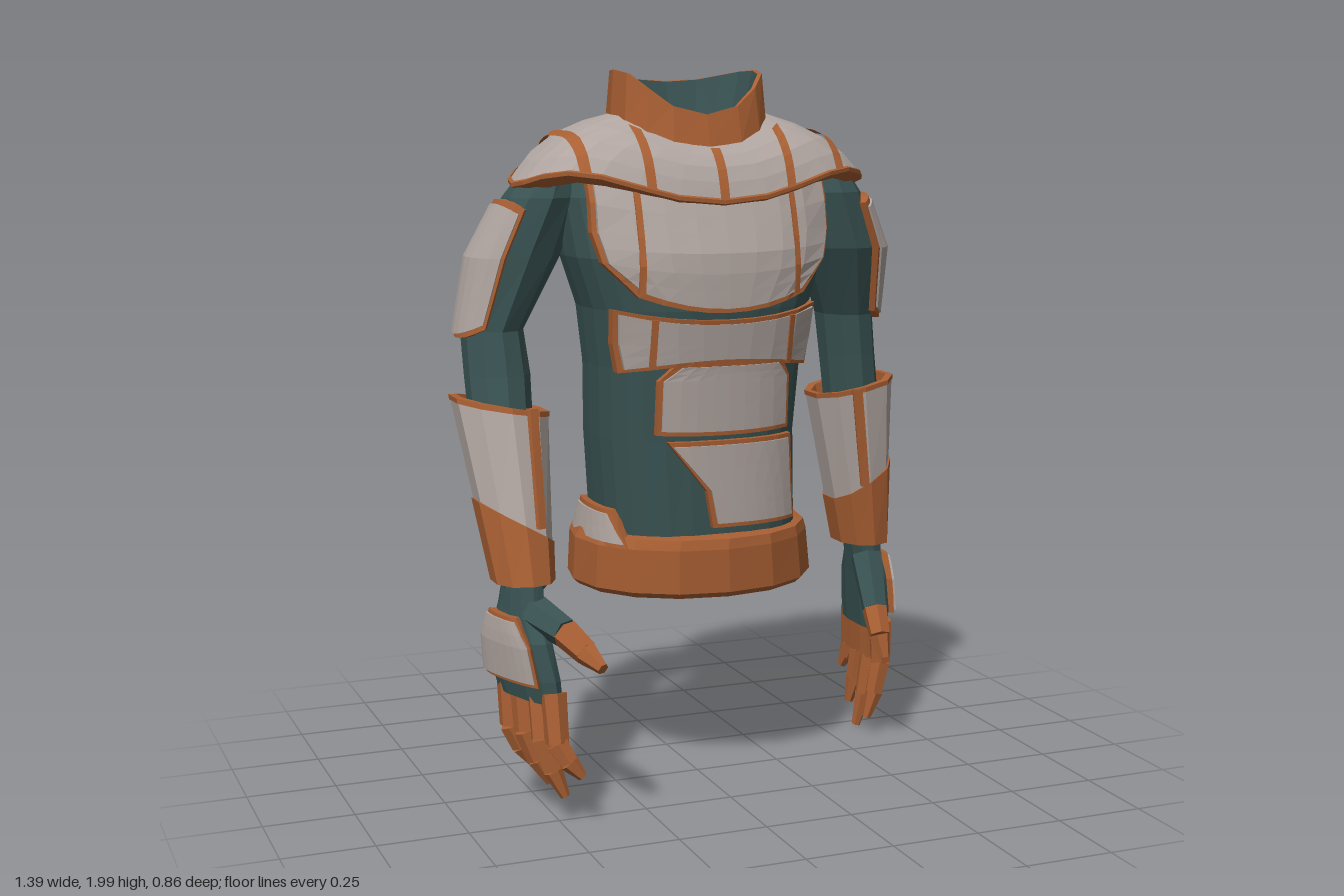
import * as THREE from 'three';

const paint = (name, color) => {
  const m = new THREE.MeshStandardMaterial({ color, side: THREE.DoubleSide });
  m.name = name;
  return m;
};
const teal = paint('teal fabric', 0x3a5353);
const grey = paint('grey armour', 0xb0a5a0);
const orange = paint('orange trim', 0xa85f33);
const V = (x, y, z) => new THREE.Vector3(x, y, z);
const mix = THREE.MathUtils.lerp;
const range = (n, a, b) => Array.from({ length: n + 1 }, (_, i) => mix(a, b, i / n));
const TURN = Math.PI * 2;

// Faceted skin over a grid of points, rows running downwards
function skin(name, mat, rows) {
  const w = rows[0].length, index = [];
  for (let i = 0; i < rows.length - 1; i++)
    for (let j = 0; j < w - 1; j++) {
      const a = i * w + j, c = a + w;
      index.push(a, c, a + 1, a + 1, c, c + 1);
    }
  const g = new THREE.BufferGeometry().setFromPoints(rows.flat());
  g.setIndex(index);
  const flat = g.toNonIndexed();
  flat.computeVertexNormals();
  const mesh = new THREE.Mesh(flat, mat);
  mesh.name = name;
  return mesh;
}

// Row of a table interpolated by its first column (which may rise or fall)
function lookup(table, k) {
  const dir = Math.sign(table[1][0] - table[0][0]);
  let i = 0;
  while (i < table.length - 2 && (table[i + 1][0] - k) * dir < 0) i++;
  const [p, q] = [table[i], table[i + 1]];
  const f = (k - p[0]) / (q[0] - p[0]);
  return p.map((v, n) => mix(v, q[n], f));
}

// Sections are [y, cx, cz, rx, rz, skew], highest first; angle 0 faces the front, +90 degrees faces +x
const spow = (v, e) => Math.sign(v) * Math.abs(v) ** e;
const around = (secs, n = 2) => (a, y, o = 0) => {
  const [, cx, cz, rx, rz, skew = 0] = lookup(secs, y);
  const dz = (rz + o) * spow(Math.cos(a), 2 / n);
  return V(cx + (rx + o) * spow(Math.sin(a), 2 / n) + skew * dz, y, cz + dz);
};
function loft(name, mat, secs, sides, n = 2, cap = false) {
  const f = around(secs, n);
  const rows = secs.map(s => range(sides, 0, TURN).map(a => f(a, s[0])));
  if (cap) {
    const [y, cx, cz] = secs[secs.length - 1];
    rows.push(rows[0].map(() => V(cx, y, cz)));
  }
  return skin(name, mat, rows);
}

// Curved plate: rows are [y, left, right, y at the ends], f(u, y, offset) is the surface below
function sheet(name, mat, f, rows, o, cols = 8) {
  const keyed = rows.map((r, i) => [i, r[0], r[1], r[2], r[3] ?? r[0]]);
  const vs = range((rows.length - 1) * 2, 0, rows.length - 1);
  const us = range(cols, -1, 1);
  const rim = list => [[list[0], 1], ...list.map(v => [v, 0]), [list[list.length - 1], 1]];
  return skin(name, mat, rim(vs).map(([v, ev]) => {
    const [, y, l, r, ye] = lookup(keyed, v);
    return rim(us).map(([u, eu]) =>
      f(mix(l, r, (u + 1) / 2), mix(y, ye, u * u), ev || eu ? -0.01 : o));
  }));
}
// Grey plate on a slightly larger orange edge
function plate(name, f, rows, du = 0.012, dy = 0.012) {
  const g = new THREE.Group();
  g.name = name;
  const inner = rows.map((r, i) => {
    const d = i === 0 ? -dy : i === rows.length - 1 ? dy : 0;
    return [r[0] + d, r[1] + du, r[2] - du, (r[3] ?? r[0]) + d];
  });
  g.add(sheet(name + 'Edge', orange, f, rows, 0.018), sheet(name + 'Face', grey, f, inner, 0.024));
  return g;
}

// Tapered segments through a list of [x, y, z, radius, material]
function digit(name, pts) {
  const g = new THREE.Group();
  g.name = name;
  for (let i = 0; i < pts.length - 1; i++) {
    const p = V(...pts[i].slice(0, 3)), q = V(...pts[i + 1].slice(0, 3)), d = q.clone().sub(p);
    const geo = new THREE.CylinderGeometry(pts[i + 1][3], pts[i][3], d.length(), 6).toNonIndexed();
    geo.computeVertexNormals();
    const m = new THREE.Mesh(geo, pts[i][4]);
    m.name = name + 'Segment';
    m.position.copy(p).lerp(q, 0.5);
    m.quaternion.setFromUnitVectors(V(0, 1, 0), d.normalize());
    g.add(m);
  }
  return g;
}

function torso() {
  const g = new THREE.Group();
  g.name = 'torso';
  const N = 2.5;
  const secs = [[1.84, 0, -0.07, 0.2, 0.13], [1.76, 0, -0.075, 0.36, 0.2], [1.66, 0, -0.07, 0.39, 0.235],
    [1.5, 0, -0.045, 0.37, 0.262], [1.36, 0, -0.04, 0.325, 0.252], [1.2, 0, -0.05, 0.305, 0.232],
    [1.0, 0, -0.075, 0.295, 0.238], [0.7, 0.02, -0.1, 0.288, 0.25]];
  g.add(loft('undersuit', teal, secs, 28, N));
  const wall = side => (u, y, o) => {
    const [, cx, cz, rx, rz] = lookup(secs, y);
    const s = Math.min(1, Math.abs(u * side - cx) / (rx + o));
    return V(u * side, y, cz + side * (rz + o) * (1 - s ** N) ** (1 / N));
  };
  const front = wall(1), back = wall(-1);
  const stripe = (x, y0, y1) =>
    g.add(sheet('plateStripe', orange, front, [[y0, x - 0.008, x + 0.008], [(y0 + y1) / 2, x - 0.008, x + 0.008], [y1, x - 0.008, x + 0.008]], 0.028, 1));

  // Chest and stomach
  g.add(plate('chestPlate', front, [[1.67, -0.345, 0.345, 1.73], [1.57, -0.345, 0.345], [1.46, -0.325, 0.32, 1.49], [1.355, -0.24, 0.24, 1.4]]));
  stripe(-0.235, 1.71, 1.41);
  stripe(0.21, 1.71, 1.4);
  g.add(plate('upperStomachPlate', front, [[1.335, -0.295, 0.3, 1.365], [1.27, -0.29, 0.295], [1.215, -0.275, 0.28, 1.19]]));
  stripe(-0.2, 1.34, 1.21);
  stripe(0.2, 1.34, 1.21);
  g.add(plate('middleStomachPlate', front, [[1.22, -0.13, 0.18], [1.17, -0.18, 0.21], [1.015, -0.18, 0.215, 1.02]]));
  g.add(plate('lowerStomachPlate', front, [[1.0, -0.15, 0.23], [0.86, -0.04, 0.24], [0.755, -0.02, 0.25]]));

  // Back and spine
  g.add(plate('backPlate', back, [[1.69, -0.34, 0.34, 1.73], [1.52, -0.32, 0.33], [1.49, -0.26, 0.25], [1.42, -0.21, 0.22], [1.37, -0.13, 0.17]]));
  for (const [top, bottom, w] of [[1.36, 1.18, 0.15], [1.17, 1.01, 0.13], [1.0, 0.74, 0.14]])
    g.add(plate('spinePlate', back, [[top, 0.03 - w, 0.03 + w], [bottom, 0.03 - w * 0.93, 0.03 + w * 0.93]]));

  // Hip plates flaring towards the belt
  const wrap = around(secs, N);
  const flare = (a, y, o) => wrap(a, y, o + (0.8 - y) * 0.25);
  g.add(plate('leftHipPlate', flare, [[0.8, 2.2, 2.6], [0.7, 1.95, 2.7]], 0.05));
  g.add(plate('rightHipPlate', flare, [[0.8, -1.9, -1.15], [0.7, -2.1, -0.88]], 0.05));

  // Belt with closed underside
  g.add(loft('belt', orange, [[0.735, 0.02, -0.1, 0.27, 0.24], [0.728, 0.015, -0.105, 0.33, 0.305],
    [0.7, 0.012, -0.107, 0.342, 0.312], [0.578, 0.018, -0.115, 0.352, 0.316], [0.562, 0.018, -0.115, 0.335, 0.3]], 16, 2.1, true));
  return g;
}

function yoke() {
  const g = new THREE.Group();
  g.name = 'shoulderYoke';
  // t, side x, side y, front z, front y, back z, back y
  const table = [[0, 0.51, 1.695, 0.2, 1.652, -0.335, 1.68], [0.25, 0.462, 1.755, 0.187, 1.7, -0.33, 1.75],
    [0.5, 0.392, 1.812, 0.17, 1.74, -0.305, 1.81], [0.75, 0.305, 1.855, 0.145, 1.77, -0.275, 1.85], [1, 0.215, 1.885, 0.11, 1.8, -0.235, 1.875]];
  const cz = -0.065, E = 0.92;
  const f = (a, t, o = 0, drop = 0) => {
    const [, X, Y, zf, yf, zb, yb] = lookup(table, t);
    const c = Math.cos(a), s = Math.sin(a);
    const y = mix(Y, c > 0 ? yf : yb, c * c) + 0.055 * Math.sin(2 * a) ** 2 * (1 - t);
    return V((X + o) * spow(s, E), y - drop + o * 0.5, cz + ((c > 0 ? zf - cz : cz - zb) + o) * spow(c, E));
  };
  const ring = (...k) => range(28, 0, TURN).map(a => f(a, ...k));
  g.add(skin('yokeShell', grey, range(4, 1, 0).map(t => ring(t))));
  g.add(skin('yokeHem', orange, [ring(0.03, 0.002), ring(0, 0.005), ring(0, 0.004, 0.01), ring(0, -0.04, 0.008)]));

  // Front trim lines from neck to hem
  for (const x of [-0.2, 0, 0.2]) {
    const edge = (t, e) => f(Math.asin(spow((x + e) / lookup(table, t)[1], 1 / E)), t, 0.006);
    g.add(skin('yokeStripe', orange, range(6, 0.9, 0).map(t => [edge(t, -0.013), edge(t, 0.013)])));
  }
  // Trim lines crossing each shoulder from front hem to back hem
  const byWidth = table.map(r => [r[1], r[0]]);
  for (const side of [-1, 1]) {
    const edge = (k, x) => {
      const a0 = Math.asin((x / table[0][1]) ** (1 / E)), a = mix(a0, Math.PI - a0, k);
      return f(a * side, lookup(byWidth, x / Math.sin(a) ** E)[1], 0.008);
    };
    g.add(skin('shoulderStripe', orange, range(14, 0, 1).map(k => [edge(k, 0.35), edge(k, 0.378)])));
  }

  // Collar: low at the front, high at the sides, lined with fabric
  const neck = (x, zf, zb, ys, yf, yb) => range(16, 0, TURN).map(a => {
    const c = Math.cos(a), m = (zf + zb) / 2;
    return V(x * spow(Math.sin(a), 0.85) - 0.01, mix(ys, c > 0 ? yf : yb, Math.abs(c) ** 2.6), m + (zf - zb) / 2 * spow(c, 0.85));
  });
  const rim = neck(0.212, 0.098, -0.222, 2.0, 1.88, 1.97), lip = neck(0.2, 0.088, -0.212, 1.998, 1.878, 1.968);
  g.add(skin('collar', orange, [lip, rim, neck(0.222, 0.118, -0.242, 1.865, 1.79, 1.865)]));
  g.add(skin('collarLining', teal, [lip, neck(0.17, 0.065, -0.19, 1.87, 1.83, 1.87),
    neck(0.12, 0.03, -0.15, 1.83, 1.82, 1.83), neck(0, -0.06, -0.06, 1.825, 1.82, 1.825)]));
  return g;
}

// side is +1 for the left arm, -1 for the right
function arm(side, { sleeve, cuff, stripe, palm, fingers, thumb }) {
  const g = new THREE.Group();
  g.name = side > 0 ? 'leftArm' : 'rightArm';
  const out = side * Math.PI / 2;
  g.add(loft('sleeve', teal, sleeve, 10));
  const span = w => [out - w, out + w];
  g.add(plate('upperArmPlate', around(sleeve), [[1.655, ...span(1.0), 1.63], [1.5, ...span(1.05)], [1.28, ...span(1.05), 1.31]], 0.07));

  // Forearm guard: grey above, orange wrist and rim, open at both ends
  const f = around(cuff, 2.2), top = cuff[0][0], low = cuff[1][0], trim = 0.8;
  const tilt = a => Math.cos(a - out);
  const ring = (y, k, o) => range(10, 0, TURN).map(a => f(a, y + k * tilt(a), o));
  g.add(skin('forearmGuard', grey, [ring(top, 0.025, 0), ring(trim, 0.06, 0)]));
  g.add(skin('forearmRim', orange, [ring(top - 0.1, 0.02, -0.03), ring(top + 0.004, 0.025, -0.018), ring(top + 0.004, 0.025, 0.003), ring(top - 0.01, 0.025, 0.003)]));
  g.add(skin('wristBand', orange, [ring(trim, 0.06, 0), ring(trim, 0.06, 0.005), ring(low, 0, 0.005), ring(low, 0, -0.04)]));
  g.add(sheet('forearmStripe', orange, f, [[top, stripe - 0.1, stripe + 0.1], [trim - 0.01, stripe - 0.12, stripe + 0.12]], 0.009, 1));

  // Hand
  g.add(loft('glove', teal, palm, 10, 2.4, true));
  g.add(plate('handPlate', around(palm, 2.4), [[0.565, ...span(0.7)], [0.49, ...span(0.9)], [0.385, ...span(0.85)]], 0.08, 0.01));
  for (const [x0, z0, x1, y1, z1] of fingers)
    g.add(digit('finger', [[x0, 0.365, z0, 0.036, orange], [mix(x0, x1, 0.25) + 0.015 * side, 0.235, mix(z0, z1, 0.5), 0.032, orange],
      [mix(x0, x1, 0.6) + 0.01 * side, mix(0.235, y1, 0.55), mix(z0, z1, 0.8), 0.027, orange], [x1, y1, z1, 0.013, orange]]));
  g.add(digit('thumb', thumb));
  return g;
}

export function createModel() {
  const model = new THREE.Group();
  model.name = 'armouredJacket';
  model.add(torso(), yoke());
  model.add(arm(1, {
    sleeve: [[1.75, 0.4, -0.07, 0.06, 0.09], [1.66, 0.42, -0.07, 0.1, 0.12], [1.5, 0.475, -0.095, 0.12, 0.13],
      [1.3, 0.525, -0.155, 0.082, 0.105], [1.18, 0.54, -0.16, 0.08, 0.1], [1.0, 0.56, -0.16, 0.08, 0.09], [0.6, 0.6, -0.175, 0.055, 0.08]],
    cuff: [[1.085, 0.543, -0.155, 0.13, 0.12], [0.605, 0.598, -0.178, 0.075, 0.105]],
    stripe: -0.18,
    palm: [[0.64, 0.6, -0.175, 0.05, 0.078], [0.56, 0.612, -0.18, 0.046, 0.08], [0.5, 0.622, -0.19, 0.046, 0.11],
      [0.4, 0.632, -0.2, 0.042, 0.128], [0.335, 0.635, -0.205, 0.036, 0.128]],
    fingers: [[0.635, -0.1, 0.6, 0.06, -0.115], [0.64, -0.17, 0.612, 0.008, -0.21], [0.64, -0.24, 0.625, 0.06, -0.29], [0.64, -0.302, 0.635, 0.155, -0.365]],
    thumb: [[0.6, 0.56, -0.13, 0.05, teal], [0.585, 0.42, -0.04, 0.038, orange], [0.58, 0.35, 0.005, 0.032, orange], [0.585, 0.285, 0.03, 0.016]],
  }));
  model.add(arm(-1, {
    sleeve: [[1.75, -0.4, -0.07, 0.06, 0.09], [1.66, -0.43, -0.08, 0.1, 0.12], [1.5, -0.49, -0.11, 0.12, 0.125],
      [1.3, -0.56, -0.12, 0.085, 0.105], [1.18, -0.555, -0.09, 0.09, 0.1], [1.0, -0.56, -0.03, 0.085, 0.09], [0.63, -0.55, 0.12, 0.06, 0.075]],
    cuff: [[1.1, -0.56, -0.05, 0.13, 0.12], [0.645, -0.55, 0.11, 0.08, 0.095]],
    stripe: 0.42,
    palm: [[0.68, -0.55, 0.12, 0.05, 0.075, 0], [0.58, -0.565, 0.135, 0.046, 0.08, 0.2], [0.5, -0.57, 0.15, 0.045, 0.115, 0.3],
      [0.4, -0.56, 0.16, 0.042, 0.125, 0.35], [0.335, -0.55, 0.165, 0.036, 0.12, 0.35]],
    fingers: [[-0.515, 0.26, -0.455, 0.145, 0.32], [-0.535, 0.2, -0.485, 0.075, 0.26], [-0.56, 0.13, -0.495, 0.085, 0.16], [-0.58, 0.07, -0.52, 0.12, 0.09]],
    thumb: [[-0.54, 0.57, 0.18, 0.05, teal], [-0.49, 0.535, 0.29, 0.04, orange], [-0.455, 0.495, 0.36, 0.034, orange], [-0.43, 0.465, 0.42, 0.016]],
  }));
  return model;
}
